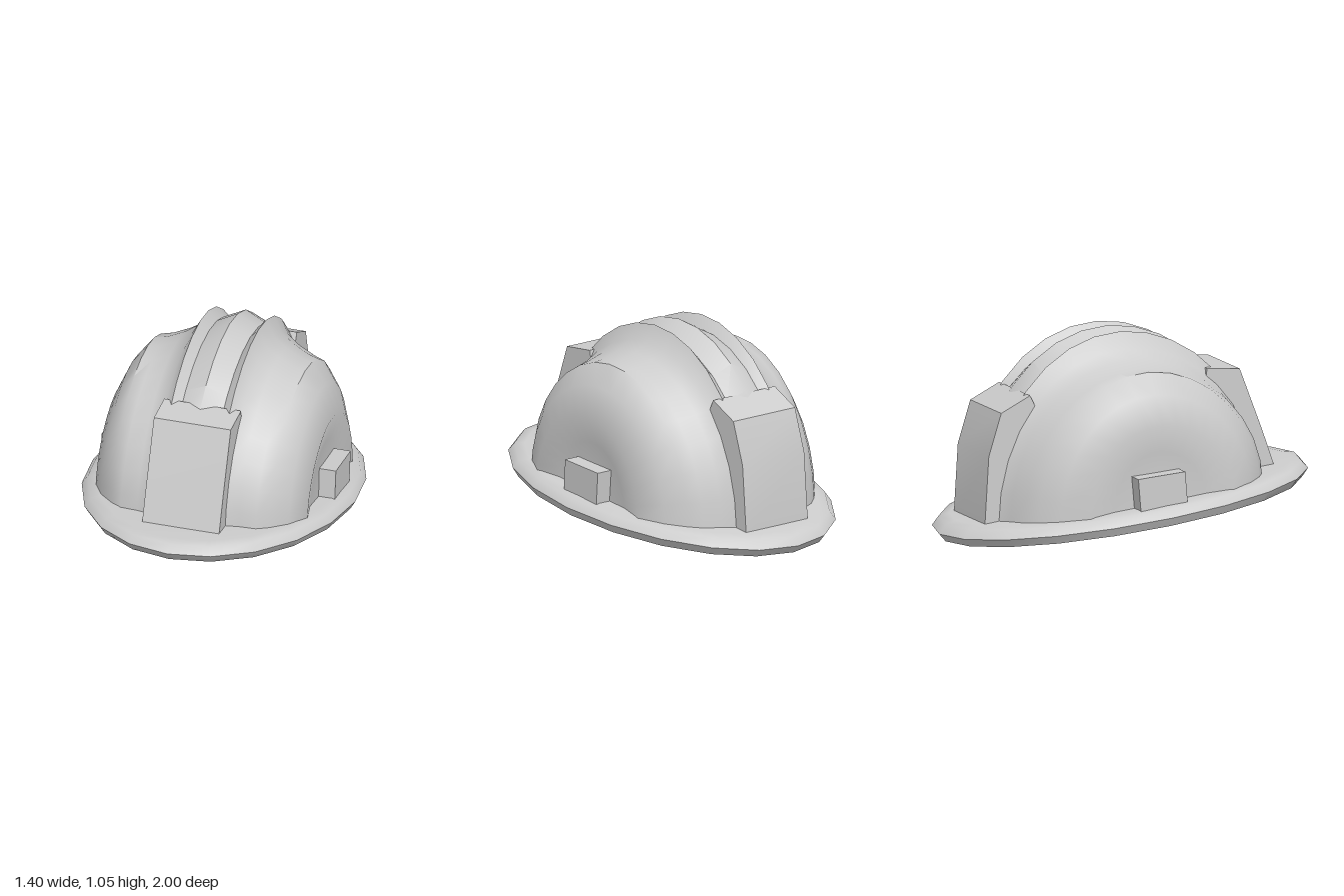
import * as THREE from 'three';
import { toCreasedNormals } from 'three/addons/utils/BufferGeometryUtils.js';

const grey = new THREE.MeshStandardMaterial({ color: 0xcccccc, side: THREE.DoubleSide });
grey.name = 'plain grey';

// Skins a list of rows of points; closed joins the last column to the first
function loft(rows, closed, crease) {
  const n = rows[0].length, index = [];
  for (let i = 0; i < rows.length - 1; i++) {
    for (let j = 0; j < (closed ? n : n - 1); j++) {
      const k = (j + 1) % n;
      const a = i * n + j, b = i * n + k, c = a + n, d = b + n;
      index.push(a, c, b, b, c, d);
    }
  }
  const g = new THREE.BufferGeometry();
  g.setAttribute('position', new THREE.Float32BufferAttribute(rows.flat(2), 3));
  g.setIndex(index);
  return toCreasedNormals(g, crease);
}

// Extrudes a side outline of [z, y] points across the width
function across(profile, width) {
  const shape = new THREE.Shape(profile.map(([z, y]) => new THREE.Vector2(-z, y)));
  const g = new THREE.ExtrudeGeometry(shape, { depth: width, bevelEnabled: false });
  g.translate(0, 0, -width / 2);
  g.rotateY(Math.PI / 2);
  return toCreasedNormals(g, 0.7);
}

export function createModel() {
  const hat = new THREE.Group();
  hat.name = 'hardHat';
  const add = (name, geometry) => {
    const m = new THREE.Mesh(geometry, grey);
    m.name = name;
    hat.add(m);
    return m;
  };

  // Shell: front-to-back arches placed across the width [x, front, back, top]
  const half = [
    [0.54, 0.03, -0.03, 0.3], [0.535, 0.26, -0.26, 0.5], [0.565, 0.4, -0.4, 0.64],
    [0.5, 0.52, -0.54, 0.79], [0.42, 0.6, -0.63, 0.895], [0.36, 0.64, -0.68, 0.9],
    [0.27, 0.645, -0.72, 0.935], [0.2, 0.66, -0.76, 0.98], [0.155, 0.68, -0.8, 1.065],
    [0.11, 0.66, -0.79, 1.01],
  ];
  const arches = [
    ...half, [0, 0.68, -0.81, 1.07],
    ...half.map(([x, ...r]) => [-x, ...r]).reverse(),
  ];
  const steps = 16;
  add('shell', loft(arches.map(([x, front, back, top]) => {
    const row = [];
    for (let i = 0; i <= steps; i++) {
      const t = Math.PI * i / steps, s = Math.sin(t);
      const z = (front + back) / 2 + (front - back) / 2 * Math.cos(t);
      row.push([x, 0.19 + (top - 0.19) * s + 0.095 * z * (1 - s), z]);
    }
    return row;
  }), false, 0.8));

  // Raised panels at the front and the back
  add('frontPanel', across([[0.79, 0.25], [0.7, 0.51], [0.58, 0.83], [0.4, 0.845], [0.3, 0.22]], 0.41));
  add('backPanel', across([[-0.3, 0.2], [-0.58, 0.78], [-0.74, 0.7], [-0.81, 0.48], [-0.835, 0.1]], 0.41));

  // Tilted brim with a rounded rim and a shallow closed underside [rx, rz, dy]
  const rings = [
    [0.48, 0.6, 0.05], [0.62, 0.91, 0.052], [0.67, 0.965, 0.042], [0.7, 1, 0],
    [0.675, 0.965, -0.045], [0.61, 0.88, -0.05], [0.55, 0.8, -0.025], [0.001, 0.001, -0.02],
  ];
  const sides = 20;
  add('brim', loft(rings.map(([rx, rz, dy]) => Array.from({ length: sides }, (_, j) => {
    const a = -2 * Math.PI * j / sides;
    const z = rz * Math.cos(a);
    return [rx * Math.sin(a), 0.185 + dy + 0.118 * z - 0.01 * z * z, z];
  })).reverse(), true, 0.9));

  // Accessory slots on both sides
  for (const s of [1, -1]) {
    const slot = add(s > 0 ? 'leftSlot' : 'rightSlot', new THREE.BoxGeometry(0.1, 0.22, 0.26));
    slot.position.set(s * 0.575, 0.285, -0.02);
    slot.rotation.x = -0.08;
  }

  // Lining showing under the brim
  add('rearLining', across([[0, 0.16], [-0.06, 0.095], [-0.25, 0.075], [-0.36, 0.05], [-0.45, 0.07], [-0.45, 0.14]], 0.6));
  const tab = add('frontLiningTab', new THREE.ConeGeometry(0.06, 0.12, 4));
  tab.position.set(0.32, 0.215, 0.68);
  tab.rotation.x = Math.PI;

  // The hat sits slightly turned and tipped
  hat.rotation.set(0, -0.04, -0.012);
  const model = new THREE.Group();
  model.name = 'model';
  model.add(hat);
  model.updateMatrixWorld(true);
  const box = new THREE.Box3().setFromObject(model, true);
  hat.position.y = -box.min.y;
  return model;
}
